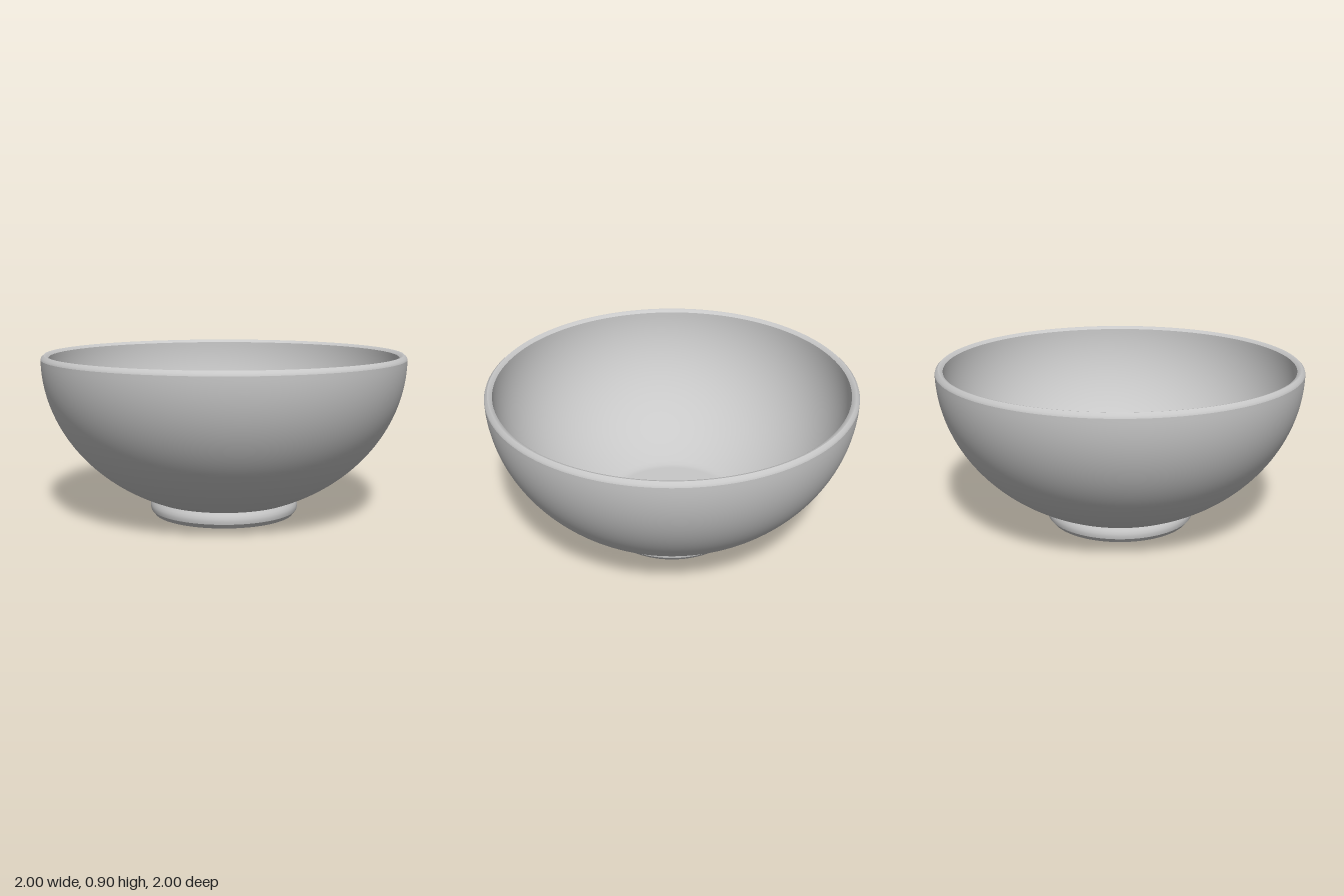
import * as THREE from 'three';

const SEGMENTS = 128;

// Quarter-ellipse wall profile from radius r0 up to the rim
function wall(r0, radius, rimY, depth, steps) {
  const points = [];
  const start = Math.acos(r0 / radius);
  for (let i = 0; i <= steps; i++) {
    const a = start * (1 - i / steps);
    points.push([radius * Math.cos(a), rimY - depth * Math.sin(a)]);
  }
  return points;
}

export function createModel() {
  const bowl = new THREE.Group();
  bowl.name = 'bowl';
  const ceramic = new THREE.MeshStandardMaterial({ color: 0xc8c8c8 });
  ceramic.name = 'grey ceramic';

  // Profiles run up the outside and down the inside, so faces point outward
  const addLathe = (name, profile) => {
    const points = profile.map(([r, y]) => new THREE.Vector2(r, y));
    const mesh = new THREE.Mesh(new THREE.LatheGeometry(points, SEGMENTS), ceramic);
    mesh.name = name;
    bowl.add(mesh);
  };

  // Foot: flat base, bevelled lower edge and slightly bulging side
  addLathe('footBase', [[0, 0], [0.39, 0]]);
  addLathe('footBevel', [[0.39, 0], [0.41, 0.025]]);
  addLathe('footSide', [[0.41, 0.025], [0.413, 0.04], [0.412, 0.055], [0.407, 0.07], [0.398, 0.086]]);

  // Outer wall
  addLathe('outerWall', wall(0.398, 1, 0.875, 0.86, 40));

  // Softly bevelled rim
  addLathe('rimOuter', [[1, 0.875], [0.996, 0.887], [0.982, 0.9]]);
  addLathe('rimInner', [[0.982, 0.9], [0.97, 0.897], [0.957, 0.885]]);

  // Inner wall flowing into a flat floor
  const inside = wall(0.39, 0.957, 0.885, 0.83, 40).reverse();
  addLathe('innerWall', [...inside, [0.36, inside[40][1] - 0.004], [0, inside[40][1] - 0.004]]);

  return bowl;
}
